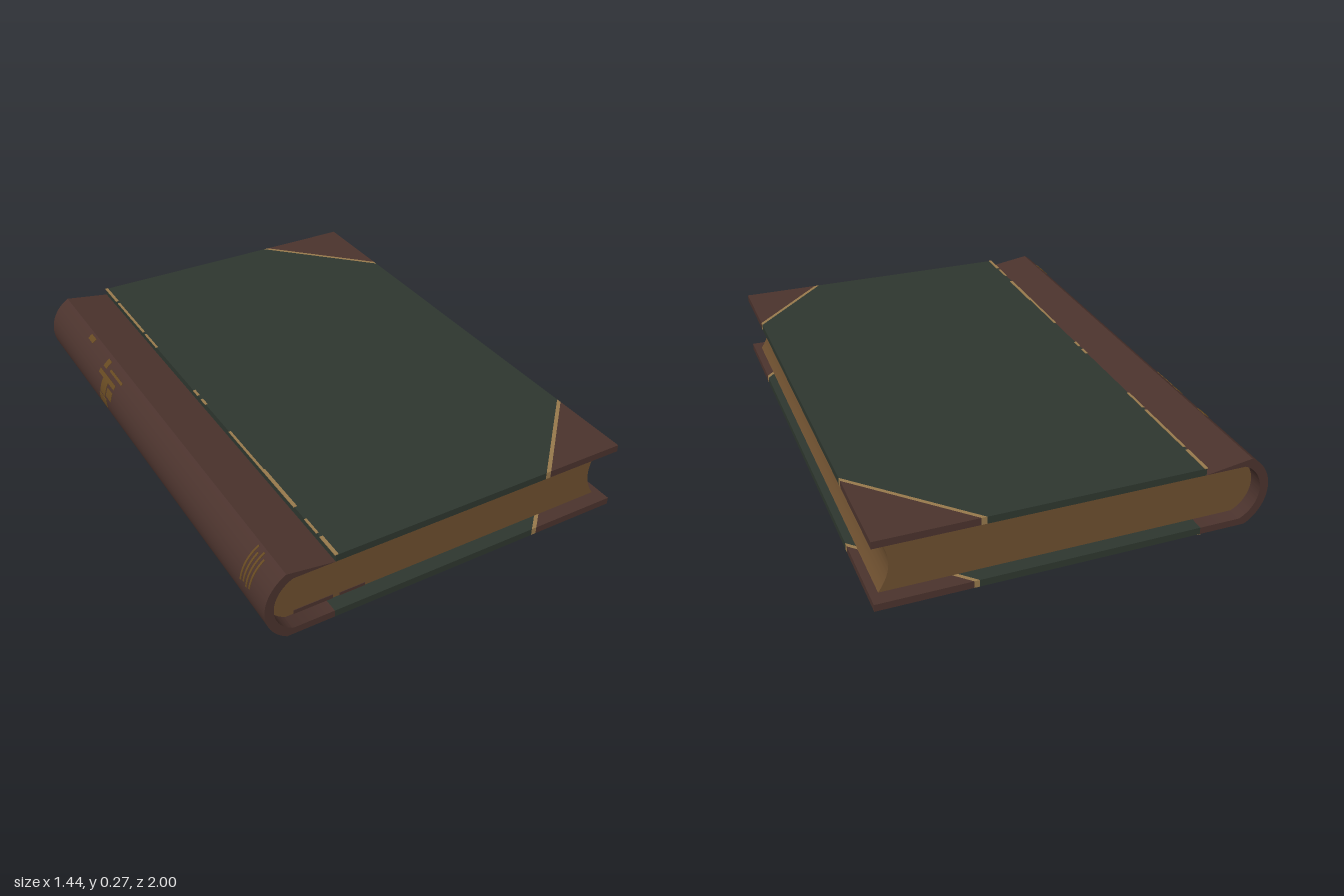
import * as THREE from 'three';
import { toCreasedNormals } from 'three/addons/utils/BufferGeometryUtils.js';

const mat = (name, color) => {
  const m = new THREE.MeshStandardMaterial({ color });
  m.name = name;
  return m;
};

// Main measures: half height, board thickness, half width, half length
const MID = 0.135, T = 0.027, W = 0.718, L = 1, HINGE = -0.46;
const OUTER = { cx: -0.564, r: 0.154, t: 1.068 };
const INNER = { cx: -0.567, r: 0.118, t: 1.156 };

export function createModel() {
  const book = new THREE.Group();
  book.name = 'book';
  const leather = mat('brown leather', 0x4b332d);
  const cloth = mat('dark green cloth', 0x2e372f);
  const paper = mat('aged paper', 0x6d4f2f);
  const gold = mat('pale gold', 0x97794c);
  const worn = mat('worn gold', 0x674a22);

  const add = (name, geometry, material) => {
    const mesh = new THREE.Mesh(geometry, material);
    mesh.name = name;
    book.add(mesh);
    return mesh;
  };

  // Profile in x/y, extruded along z
  const along = (shape, z0, z1) => {
    const g = new THREE.ExtrudeGeometry(shape, { depth: z1 - z0, bevelEnabled: false, curveSegments: 32 });
    g.translate(0, 0, z0);
    return toCreasedNormals(g, 0.5);
  };

  // Outline of [x, z] points, extruded upwards from y0
  const slab = (points, y0, height) => {
    const shape = new THREE.Shape(points.map(([x, z]) => new THREE.Vector2(x, -z)));
    const g = new THREE.ExtrudeGeometry(shape, { depth: height, bevelEnabled: false });
    g.rotateX(-Math.PI / 2);
    g.translate(0, y0, 0);
    return g;
  };

  // Leather spine, wrapping onto both boards
  const s = new THREE.Shape();
  s.moveTo(HINGE, 2 * MID);
  s.absarc(OUTER.cx, MID, OUTER.r, Math.PI - OUTER.t, Math.PI + OUTER.t, false);
  s.lineTo(HINGE, 0);
  s.lineTo(HINGE, T);
  s.absarc(INNER.cx, MID, INNER.r, Math.PI + INNER.t, Math.PI - INNER.t, true);
  s.lineTo(HINGE, 2 * MID - T);
  add('spine', along(s, -L, L), leather);

  // Page block with rounded back and hollow fore-edge
  const p = new THREE.Shape();
  p.moveTo(0.688, 2 * MID - T);
  p.absarc(INNER.cx, MID, INNER.r, Math.PI - INNER.t, Math.PI + INNER.t, false);
  p.lineTo(0.688, T);
  p.quadraticCurveTo(0.612, MID, 0.688, 2 * MID - T);
  add('pages', along(p, -0.945, 0.945), paper);

  // Boards: cloth panel, with gold-edged leather corners
  const board = (name, y0, front, back) => {
    add(name + 'Panel', slab([
      [HINGE, L], [front.x, L], [W, front.z], [W, back.z], [back.x, -L], [HINGE, -L],
    ], y0, T), cloth);
    for (const [end, c, k] of [['Front', front, 1], ['Back', back, -1]]) {
      const g = 0.02;
      add(`${name}${end}CornerLine`, slab([
        [c.x, k * L], [c.x + g, k * L], [W, c.z + k * g], [W, c.z],
      ], y0, T), gold);
      add(`${name}${end}Corner`, slab([
        [c.x + g, k * L], [W, k * L], [W, c.z + k * g],
      ], y0, T), leather);
    }
  };
  board('topBoard', 2 * MID - T, { x: 0.39, z: 0.665 }, { x: 0.335, z: -0.615 });
  board('bottomBoard', 0, { x: 0.36, z: 0.64 }, { x: 0.36, z: -0.65 });

  // Rubbed gold line beside the spine leather
  const line = (z0, z1, x, w, y0) =>
    add('hingeLine', slab([[x, z0], [x + w, z0], [x + w, z1], [x, z1]], y0, 0.003), gold);
  for (const [z0, z1, w] of [[-1, -0.87, 0.012], [-0.85, -0.57, 0.01], [-0.55, -0.43, 0.009],
    [-0.07, -0.03, 0.01], [0, 0.04, 0.01], [0.24, 0.5, 0.009], [0.5, 0.73, 0.013],
    [0.8, 0.88, 0.009], [0.9, 1, 0.013]]) line(z0, z1, -0.463, w, 2 * MID - 0.001);
  line(-1, -0.94, -0.463, 0.012, -0.002);

  // Worn tooling on the spine: thin curved plates, angles measured upward from the middle
  const tooling = (name, a0, a1, z0, z1) => {
    const c = new THREE.Shape();
    c.absarc(OUTER.cx, MID, OUTER.r + 0.002, Math.PI - a1, Math.PI - a0, false);
    c.absarc(OUTER.cx, MID, OUTER.r - 0.002, Math.PI - a0, Math.PI - a1, true);
    add(name, along(c, z0, z1), worn);
  };
  for (let i = 0; i < 4; i++) tooling('spineBand', 0.1 + 0.05 * (i % 2), 1.0 - 0.1 * (i % 2), 0.83 + i * 0.02, 0.838 + i * 0.02);
  for (const [a0, a1, z0, z1] of [[0.85, 1.0, -0.67, -0.62], [0.5, 0.62, -0.47, -0.31],
    [0.1, 0.5, -0.42, -0.37], [0.15, 0.4, -0.36, -0.31], [0.72, 0.95, -0.46, -0.43],
    [0.75, 0.82, -0.4, -0.28], [-0.2, 0.05, -0.43, -0.36]]) tooling('spineOrnament', a0, a1, z0, z1);

  // Dark stains along the front edge of the pages
  for (const [x, y, w, h] of [[0.27, 0.234, 0.13, 0.018], [0.6, 0.234, 0.07, 0.016],
    [-0.51, 0.035, 0.15, 0.016], [-0.36, 0.033, 0.1, 0.012]]) {
    add('pageStain', new THREE.BoxGeometry(w, h, 0.004), leather).position.set(x, y, 0.945);
  }
  return book;
}
